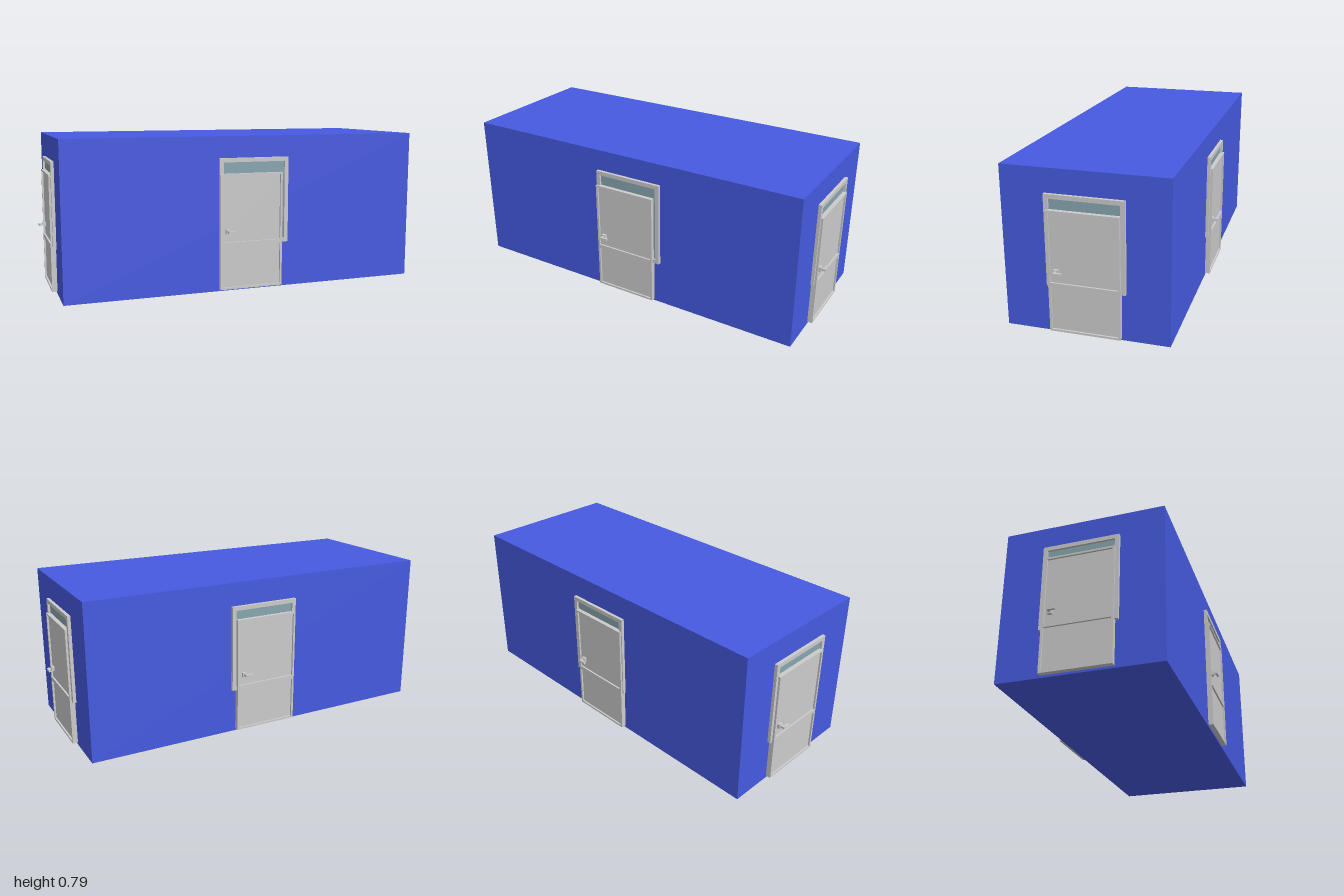
import * as THREE from 'three';

const grey = new THREE.MeshStandardMaterial({ color: 0xcccccc });
const blue = new THREE.MeshStandardMaterial({ color: 0x465ae0 });
const glassTint = new THREE.MeshStandardMaterial({ color: 0x88a6b0 });

function add(parent, name, geometry, material = grey) {
  const mesh = new THREE.Mesh(geometry, material);
  mesh.name = name;
  parent.add(mesh);
  return mesh;
}

// Box given by its limits
function block(parent, name, [x0, x1], [y0, y1], [z0, z1], material) {
  const geometry = new THREE.BoxGeometry(x1 - x0, y1 - y0, z1 - z0);
  geometry.translate((x0 + x1) / 2, (y0 + y1) / 2, (z0 + z1) / 2);
  return add(parent, name, geometry, material);
}

function rectangle(path, x0, x1, y0, y1) {
  path.moveTo(x0, y0);
  path.lineTo(x1, y0);
  path.lineTo(x1, y1);
  path.lineTo(x0, y1);
  path.closePath();
  return path;
}

// Rectangular plate with rectangular openings, from z = 0 to depth
function frame(parent, name, outer, openings, depth) {
  const shape = rectangle(new THREE.Shape(), ...outer);
  for (const o of openings) shape.holes.push(rectangle(new THREE.Path(), ...o));
  return add(parent, name, new THREE.ExtrudeGeometry(shape, { depth, bevelEnabled: false }));
}

// Window: frame with recessed glass
function makeWindow(x0, x1, y0, y1) {
  const group = new THREE.Group();
  group.name = 'window';
  const t = 0.021, inner = [x0 + t, x1 - t, y0 + t, y1 - t];
  frame(group, 'windowFrame', [x0, x1, y0, y1], [inner], 0.016);
  block(group, 'windowGlass', [inner[0], inner[1]], [inner[2], inner[3]], [0, 0.005], glassTint);
  return group;
}

// Door: frame with middle rail, two recessed panels and a lever handle
function makeDoor(x0, x1) {
  const group = new THREE.Group();
  group.name = 'door';
  const l = x0 + 0.011, r = x1 - 0.011;
  frame(group, 'doorFrame', [x0, x1, 0.011, 0.602],
    [[l, r, 0.021, 0.234], [l, r, 0.255, 0.592]], 0.026);
  block(group, 'lowerPanel', [l, r], [0.021, 0.234], [0, 0.017]);
  block(group, 'upperPanel', [l, r], [0.255, 0.592], [0, 0.017]);

  const h = x0 + 0.028;
  block(group, 'handlePlate', [h, h + 0.023], [0.298, 0.322], [0.017, 0.031]);
  block(group, 'handleStem', [h + 0.006, h + 0.017], [0.305, 0.316], [0.031, 0.042]);
  block(group, 'handleLever', [h + 0.006, h + 0.047], [0.305, 0.316], [0.042, 0.053]);
  return group;
}

export function createModel() {
  const model = new THREE.Group();
  model.name = 'building';
  block(model, 'walls', [-0.945, 0.945], [0, 0.789], [-0.393, 0.395], blue);

  // One window and door on each wall: turn, wall distance, window limits, door limits
  const sides = [
    ['front', 0, 0.395, [-0.163, 0.211, 0.238, 0.68], [-0.163, 0.175]],
    ['left', Math.PI / 2, 0.945, [-0.184, 0.19, 0.233, 0.674], [-0.173, 0.167]],
    ['back', Math.PI, 0.393, [-0.198, 0.171, 0.229, 0.67], [-0.174, 0.165]],
    ['right', -Math.PI / 2, 0.945, [-0.19, 0.184, 0.229, 0.669], [-0.174, 0.167]],
  ];
  for (const [name, turn, distance, windowLimits, doorLimits] of sides) {
    const side = new THREE.Group();
    side.name = name + 'Entrance';
    side.rotation.y = turn;
    const fit = new THREE.Group();
    fit.name = name + 'Fittings';
    fit.position.z = distance;
    fit.add(makeWindow(...windowLimits), makeDoor(...doorLimits));
    side.add(fit);
    model.add(side);
  }
  return model;
}
